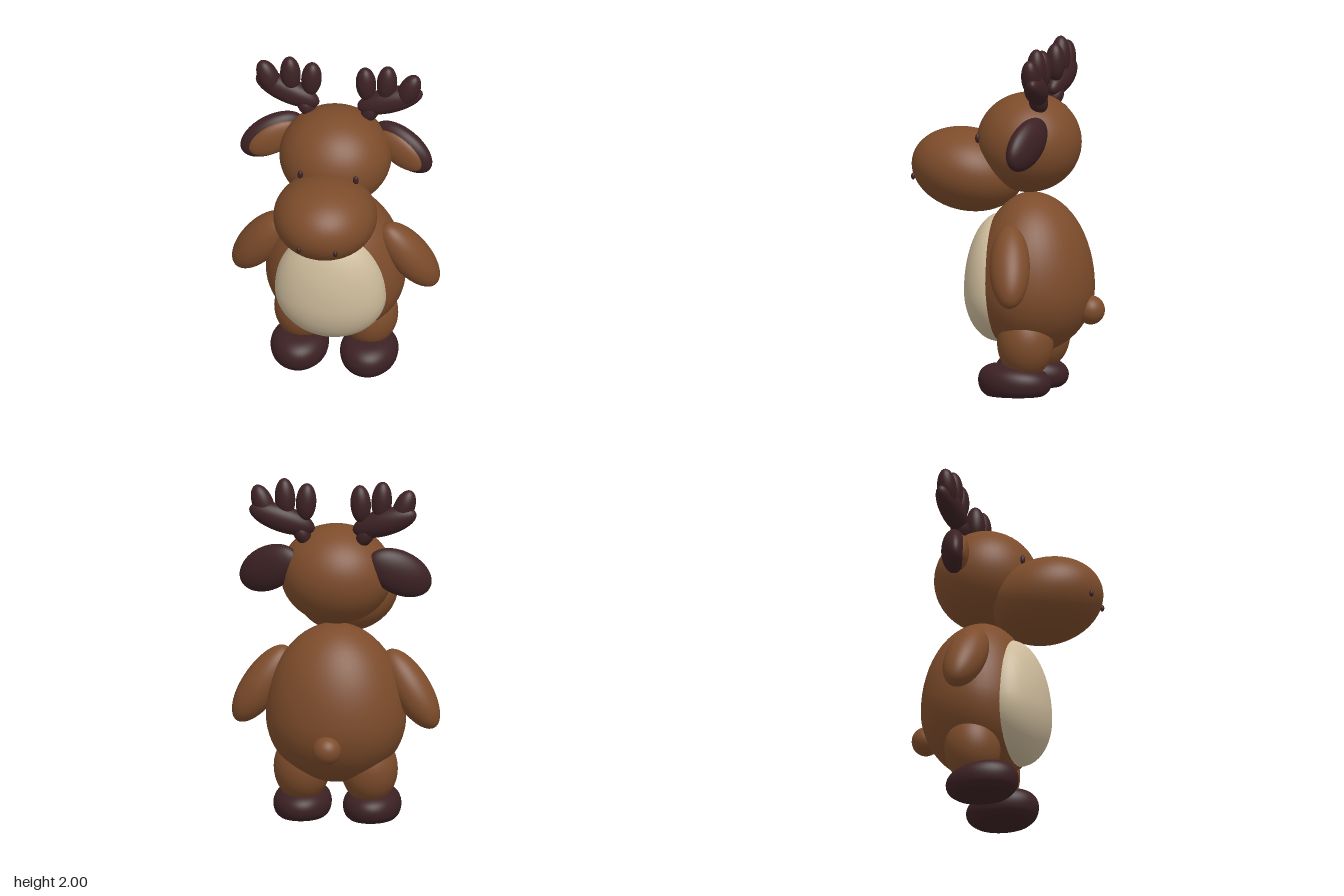
import * as THREE from 'three';

const brown = new THREE.MeshStandardMaterial({ color: 0x7d4c2b, name: 'brownFur' });
const dark = new THREE.MeshStandardMaterial({ color: 0x3c2124, name: 'darkBrown' });
const cream = new THREE.MeshStandardMaterial({ color: 0xcdbb9b, name: 'creamBelly' });

// Smooth egg: each radius is a number, or [positive, negative] for uneven halves
function eggGeometry(radii) {
  const geo = new THREE.SphereGeometry(1, 48, 32);
  const p = geo.attributes.position;
  const n = geo.attributes.normal;
  const pick = (r, v) => (Array.isArray(r) ? r[v >= 0 ? 0 : 1] : r);
  const normal = new THREE.Vector3();
  for (let i = 0; i < p.count; i++) {
    const v = [p.getX(i), p.getY(i), p.getZ(i)];
    const r = v.map((c, k) => pick(radii[k], c));
    p.setXYZ(i, v[0] * r[0], v[1] * r[1], v[2] * r[2]);
    normal.set(v[0] / r[0], v[1] / r[1], v[2] / r[2]).normalize();
    n.setXYZ(i, normal.x, normal.y, normal.z);
  }
  return geo;
}

function egg(parent, name, material, pos, radii, rot = [0, 0, 0]) {
  const mesh = new THREE.Mesh(eggGeometry(radii), material);
  mesh.name = name;
  mesh.position.set(...pos);
  mesh.rotation.set(rot[0], rot[1], rot[2], 'YXZ');
  parent.add(mesh);
  return mesh;
}

// Rounded hoof with a flat sole, longer than wide and higher at the toe
function hoof(parent, side) {
  const group = new THREE.Group();
  group.name = 'hoof';
  const curve = new THREE.SplineCurve([
    [0.13, 0], [0.155, 0.03], [0.165, 0.08], [0.152, 0.127], [0.115, 0.16], [0.06, 0.173], [0, 0.176],
  ].map(([x, y]) => new THREE.Vector2(x, y)));
  const points = curve.getPoints(24);
  points[24].x = 0;
  const upper = new THREE.LatheGeometry(points, 48);
  const p = upper.attributes.position;
  for (let i = 0; i < p.count; i++) p.setY(i, p.getY(i) * (1 + p.getZ(i) * 0.8));
  const top = new THREE.Mesh(upper, dark);
  top.name = 'hoofTop';
  const sole = new THREE.Mesh(new THREE.CircleGeometry(0.13, 48).rotateX(Math.PI / 2), dark);
  sole.name = 'hoofSole';
  group.add(top, sole);
  group.scale.z = 1.28;
  group.position.set(side * 0.2, 0, -0.085);
  parent.add(group);
}

export function createModel() {
  const model = new THREE.Group();
  model.name = 'plushMoose';

  // Torso, belly patch and tail
  egg(model, 'body', brown, [0, 0.6, -0.13], [0.4, [0.54, 0.38], [0.31, 0.36]]);
  egg(model, 'belly', cream, [0, 0.58, 0.05], [0.32, [0.435, 0.3], 0.198]);
  egg(model, 'tail', brown, [0, 0.475, -0.48], [0.083, 0.083, 0.08]);

  // Head and muzzle
  egg(model, 'head', brown, [0, 1.427, -0.118], [0.32, 0.285, 0.298]);
  egg(model, 'muzzle', brown, [0, 1.26, 0.24], [0.295, 0.236, 0.325], [-0.2, 0, 0]);

  for (const s of [1, -1]) {
    const tag = s > 0 ? 'left' : 'right';
    const half = new THREE.Group();
    half.name = tag + 'Side';
    model.add(half);
    const part = (name, material, [x, y, z], radii, [rx, ry, rz] = [0, 0, 0]) =>
      egg(half, name, material, [x * s, y, z], radii, [rx, ry * s, rz * s]);

    // Face details
    part('eye', dark, [0.16, 1.46, 0.143], [0.016, 0.027, 0.014]);
    part('nostril', dark, [0.105, 1.222, 0.535], [0.013, 0.02, 0.012]);

    // Ear: dark shell with a brown inside, turned forward at the tip
    const earTurn = [0, -0.33, -0.5];
    part('earShell', dark, [0.375, 1.465, -0.2], [0.2, 0.125, 0.072], earTurn);
    part('earInside', brown, [0.36, 1.464, -0.167], [0.162, 0.1, 0.05], earTurn);

    // Antler: stem, palm and three tines
    part('antlerStem', dark, [0.185, 1.685, -0.22], [0.048, 0.075, 0.055], [0, 0, -0.5]);
    part('antlerPalm', dark, [0.295, 1.765, -0.235], [0.195, 0.078, 0.065], [0, 0.1, 0.32]);
    part('innerTine', dark, [0.157, 1.865, -0.232], [0.058, 0.11, 0.055], [0, 0, 0.06]);
    part('middleTine', dark, [0.278, 1.885, -0.232], [0.058, 0.115, 0.055], [0, 0, -0.06]);
    part('outerTine', dark, [0.405, 1.85, -0.232], [0.06, 0.112, 0.055], [0, 0, -0.38]);

    // Arm hanging outwards
    part('arm', brown, [0.428, 0.766, -0.113], [0.112, 0.258, 0.115], [0.16, 0, 0.58]);

    // Leg and hoof
    part('leg', brown, [0.193, 0.3, -0.145], [0.162, 0.2, 0.16]);
    hoof(half, s);
  }
  return model;
}
